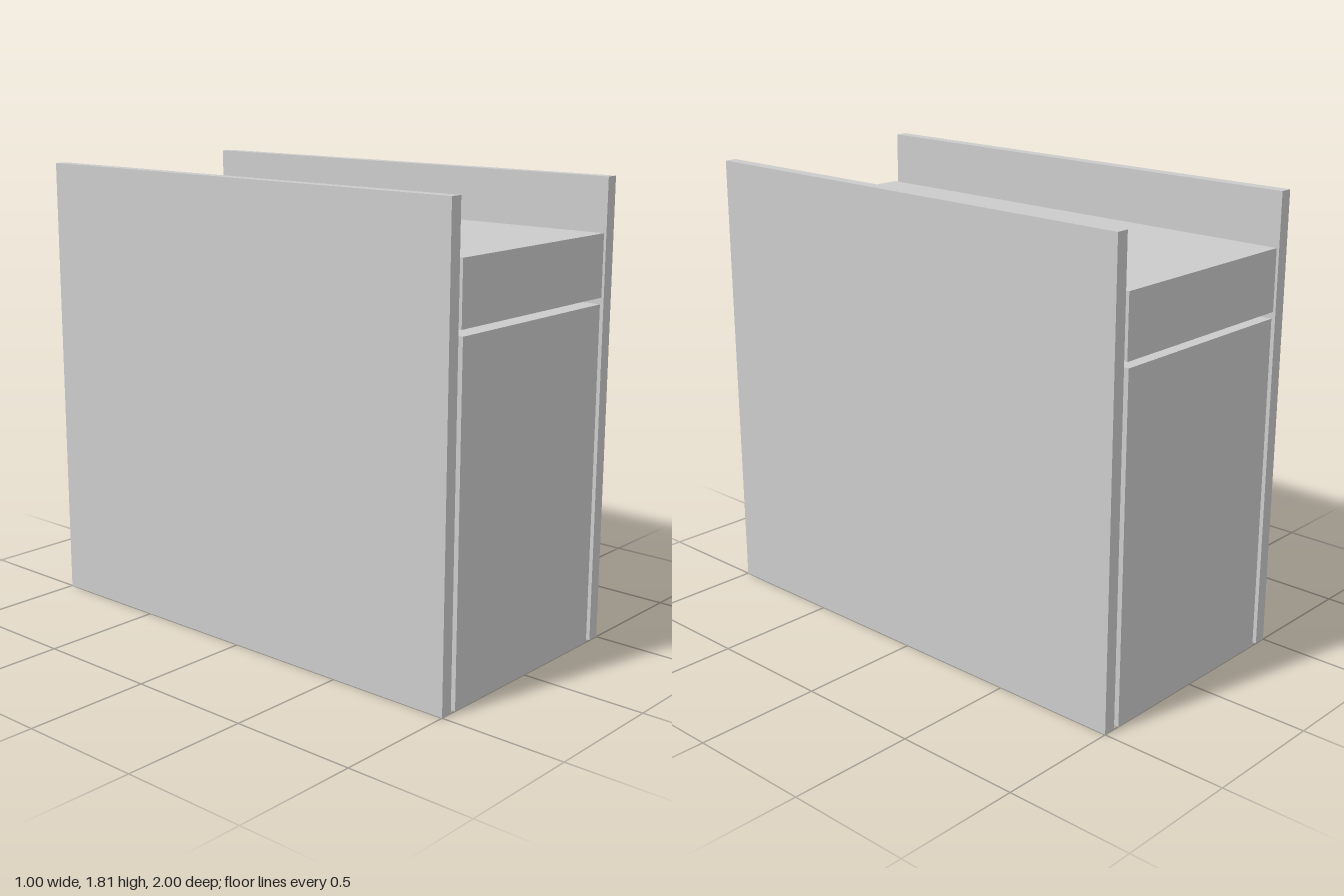
import * as THREE from 'three';

const DEPTH = 2;

export function createModel() {
  const model = new THREE.Group();
  const material = new THREE.MeshStandardMaterial({ color: 0xcccccc });

  // Full-depth box, placed by its centre x and its bottom and top heights
  function addBlock(name, width, bottom, top, x = 0) {
    const mesh = new THREE.Mesh(new THREE.BoxGeometry(width, top - bottom, DEPTH), material);
    mesh.name = name;
    mesh.position.set(x, (bottom + top) / 2, 0);
    model.add(mesh);
  }

  // Tall body with a separate slab floating just above it
  addBlock('body', 0.85, 0, 1.338);
  addBlock('topSlab', 0.866, 1.362, 1.602);

  // Side panels, set off from the body by a narrow gap
  for (const [name, side] of [['leftPanel', 1], ['rightPanel', -1]]) {
    addBlock(name, 0.05, 0, 1.808, side * 0.475);
  }

  return model;
}
